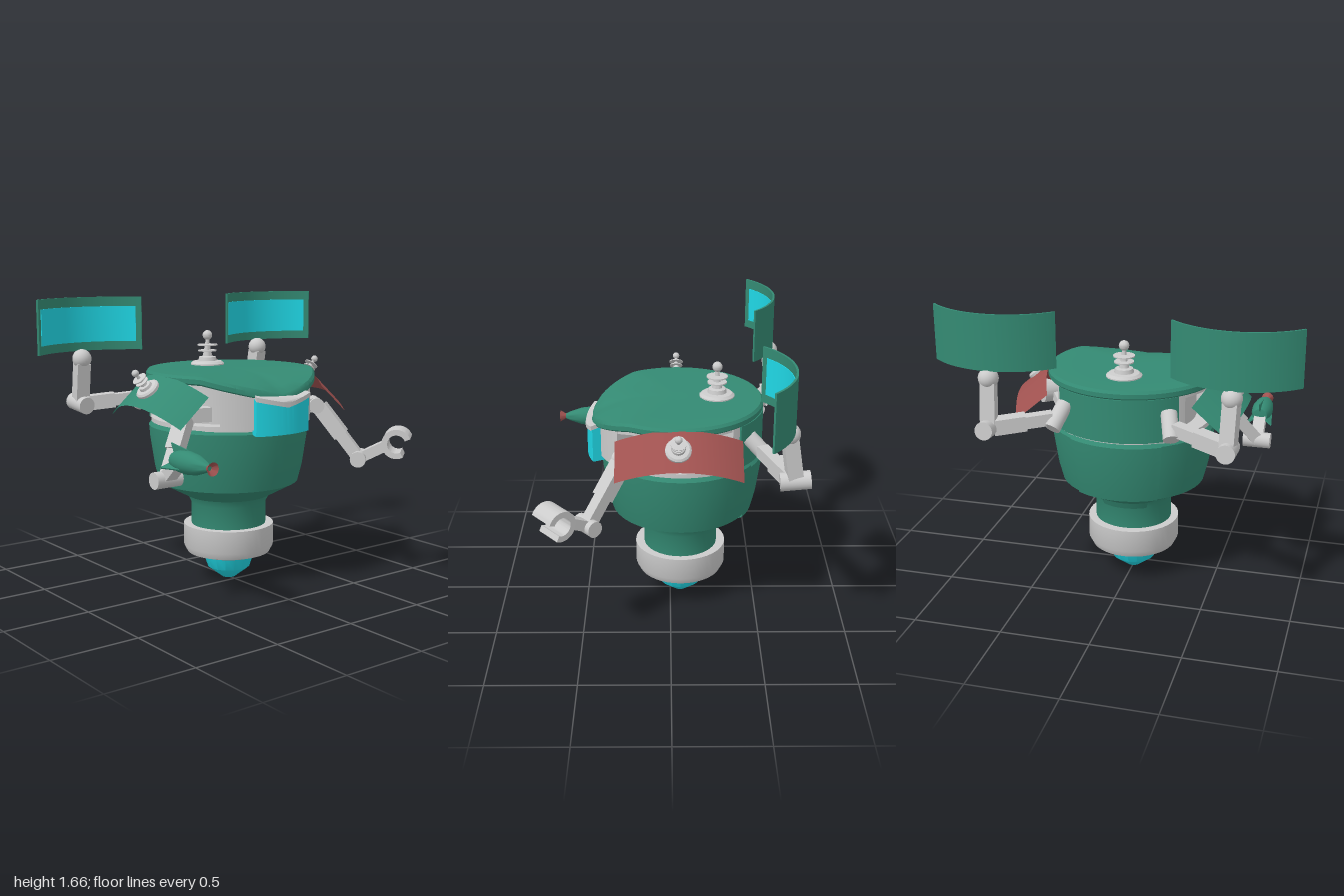
import * as THREE from 'three';
import { toCreasedNormals } from 'three/addons/utils/BufferGeometryUtils.js';

const mat = (color) => new THREE.MeshStandardMaterial({ color, side: THREE.DoubleSide });
const V = (x, y, z) => new THREE.Vector3(x, y, z);
const CX = -0.06; // body axis
const LID_X = -0.04; // lid axis

export function createModel() {
  const grey = mat(0xcccccc), green = mat(0x348a73), cyan = mat(0x20d8e6), red = mat(0xa05250);
  const root = new THREE.Group();

  const add = (name, geo, material, parent = root) => {
    const mesh = new THREE.Mesh(toCreasedNormals(geo, 0.6), material);
    mesh.name = name;
    parent.add(mesh);
    return mesh;
  };
  const lathe = (pts, seg = 40, a0 = 0, len = Math.PI * 2) =>
    new THREE.LatheGeometry(pts.map((p) => new THREE.Vector2(...p)), seg, a0, len);

  // Ring sector shape, angle 0 along +x
  const sectorShape = (r0, r1, a0, a1) => {
    const s = new THREE.Shape();
    s.absarc(0, 0, r1, a0, a1, false);
    s.absarc(0, 0, r0, a1, a0, true);
    return s;
  };
  // Upright curved wall
  const wall = (r0, r1, a0, a1, y0, y1, cx, cz = 0) => {
    const g = new THREE.ExtrudeGeometry(sectorShape(r0, r1, a0, a1), { depth: y1 - y0, bevelEnabled: false, curveSegments: 20 });
    return g.rotateX(-Math.PI / 2).translate(cx, y0, cz);
  };
  // Pulls the upper edge down into a brow at +x
  const sag = (geo) => {
    const p = geo.attributes.position;
    for (let i = 0; i < p.count; i++) {
      const x = p.getX(i) - LID_X, z = p.getZ(i), y = p.getY(i);
      const r = Math.min(1, Math.hypot(x, z) / 0.485);
      const front = Math.max(0, 1 - Math.abs(Math.atan2(z, x)));
      const weight = THREE.MathUtils.clamp((y - 0.96) / 0.2, 0, 1);
      p.setY(i, y - 0.11 * front * r ** 3 * weight);
    }
    return geo;
  };
  // Box and rod between two points
  const beam = (name, a, b, w, h, parent) => {
    const m = add(name, new THREE.BoxGeometry(w, h, a.distanceTo(b)), grey, parent);
    m.position.lerpVectors(a, b, 0.5);
    m.quaternion.setFromRotationMatrix(new THREE.Matrix4().lookAt(b, a, V(0, 1, 0)));
  };
  const rod = (name, a, b, r, parent) => {
    const m = add(name, new THREE.CylinderGeometry(r, r, a.distanceTo(b), 20), grey, parent);
    m.position.lerpVectors(a, b, 0.5);
    m.quaternion.setFromUnitVectors(V(0, 1, 0), b.clone().sub(a).normalize());
  };
  const link = (name, a, b, w, parent) => {
    const mid = a.clone().lerp(b, 0.55);
    beam(name, a, mid, w, w, parent);
    beam(name + 'Sleeve', mid, b, w * 0.78, w * 0.8, parent);
  };

  // Tip, collar and flared body
  add('tip', lathe([[0, 0], [0.04, 0.005], [0.125, 0.07], [0.155, 0.16], [0, 0.17]], 16), cyan).position.x = CX;
  add('collar', lathe([[0, 0.155], [0.2, 0.155], [0.245, 0.17], [0.265, 0.21], [0.265, 0.34], [0, 0.34]]), grey).position.x = CX;
  const profile = [[0.215, 0.33], [0.216, 0.47], [0.235, 0.51], [0.4, 0.6], [0.425, 0.7], [0.45, 0.87], [0.455, 0.935], [0.44, 0.955]];
  const body = add('body', lathe([...profile, [0, 0.955]]), green);
  body.position.x = CX;
  body.scale.z = 1.03;
  add('backPanel', lathe(profile.slice(1).map(([r, y]) => [r + 0.014, y]), 16, Math.PI * 1.5 - 0.58, 1.16), green).position.x = CX;

  // Head: floor, core, walls, frames and window
  add('headFloor', new THREE.CylinderGeometry(0.45, 0.45, 0.03, 40).translate(CX, 0.965, 0), grey);
  add('headCore', sag(lathe([[0.36, 0.965], [0.36, 1.2]], 48).translate(CX, 0, 0)), grey);
  add('backWall', wall(0.36, 0.468, Math.PI - 0.8, Math.PI + 0.8, 0.965, 1.21, CX), green);
  for (const s of [-1, 1]) {
    const a = s > 0 ? [0.36, 0.76] : [-0.76, -0.36];
    add('windowFrame', sag(wall(0.34, 0.47, ...a, 0.965, 1.2, CX + 0.01)), grey);
    const b = Math.PI - s * 0.85;
    add('rearPillar', wall(0.36, 0.455, b - 0.06, b + 0.06, 0.965, 1.21, CX), grey);
  }
  add('window', sag(wall(0.38, 0.46, -0.42, 0.42, 0.935, 1.2, 0.015)), cyan);
  add('brow', sag(wall(0.38, 0.47, -0.42, 0.42, 1.195, 1.22, 0.013)), grey);

  // Lid with a folded front
  add('lidLining', sag(lathe([[0, 1.185], [0.3, 1.185], [0.46, 1.185], [0.46, 1.215]], 64).translate(LID_X, 0, 0)), grey);
  const lidProfile = [[0, 1.21], [0.25, 1.21], [0.48, 1.21], [0.487, 1.218], [0.487, 1.243], [0.475, 1.258],
    [0.42, 1.26], [0.34, 1.26], [0.26, 1.26], [0.15, 1.26], [0, 1.26]];
  add('lid', sag(lathe(lidProfile, 64).translate(LID_X, 0, 0)), green);

  // Antenna: stepped base, tapered mast, two discs and a ball
  const antenna = (name, scale) => {
    const g = new THREE.Group();
    g.name = name;
    add('antennaMast', lathe([[0.1, -0.02], [0.1, 0.012], [0.085, 0.025], [0.055, 0.028], [0.05, 0.05], [0.028, 0.055],
      [0.024, 0.08], [0.055, 0.083], [0.055, 0.09], [0.02, 0.092], [0.018, 0.115], [0.06, 0.117], [0.06, 0.124],
      [0.014, 0.127], [0.01, 0.17], [0, 0.17]], 24), grey, g);
    add('antennaBall', new THREE.SphereGeometry(0.029, 16, 12).translate(0, 0.178, 0), grey, g);
    g.scale.setScalar(scale);
    root.add(g);
    return g;
  };
  antenna('topAntenna', 1).position.set(-0.265, 1.255, 0);

  for (const s of [-1, 1]) {
    // Sloping side shield, arched along x
    const shield = new THREE.PlaneGeometry(2, 1, 24, 2);
    const p = shield.attributes.position;
    for (let i = 0; i < p.count; i++) {
      const u = p.getX(i), v = 0.5 - p.getY(i);
      p.setXYZ(i, -0.045 + 0.345 * u, 1.25 - 0.16 * v - 0.095 * u * u, s * (0.48 + 0.185 * v - 0.075 * u * u));
    }
    shield.computeVertexNormals();
    add('sideShield', shield, s > 0 ? green : red);
    const ant = antenna('sideAntenna', 0.7);
    ant.position.set(-0.04, 1.175, s * 0.57);
    ant.rotation.x = s * 0.7;

    // Curved collector panel on a jointed arm
    const arm = new THREE.Group();
    arm.name = 'panelArm';
    root.add(arm);
    add('panelBack', wall(0.483, 0.495, Math.PI - 0.77, Math.PI + 0.77, 1.35, 1.66, -0.14, s * 0.655), green, arm);
    add('panelFace', wall(0.479, 0.484, Math.PI - 0.7, Math.PI + 0.7, 1.4, 1.605, -0.14, s * 0.655), cyan, arm);
    add('panelBall', new THREE.SphereGeometry(0.056, 20, 14).translate(-0.61, 1.305, s * 0.655), grey, arm);
    beam('panelPost', V(-0.645, 1.06, s * 0.65), V(-0.61, 1.28, s * 0.655), 0.08, 0.08, arm);
    rod('panelElbow', V(-0.73, 1.045, s * 0.65), V(-0.57, 1.03, s * 0.65), 0.05, arm);
    link('panelForearm', V(-0.63, 1.04, s * 0.63), V(-0.5, 1.07, s * 0.34), 0.085, arm);
    rod('panelShoulder', V(-0.54, 1.02, s * 0.33), V(-0.43, 1.13, s * 0.29), 0.045, arm);
  }

  // Nozzle arm
  const nozzleArm = new THREE.Group();
  nozzleArm.name = 'nozzleArm';
  root.add(nozzleArm);
  const elbowA = V(0.28, 0.74, 0.67);
  beam('shoulderMount', V(0.16, 1.04, 0.3), V(0.13, 1.04, 0.43), 0.08, 0.08, nozzleArm);
  rod('shoulder', V(0.04, 1.04, 0.41), V(0.16, 1.03, 0.46), 0.045, nozzleArm);
  link('upperArm', V(0.15, 1.03, 0.46), elbowA, 0.085, nozzleArm);
  rod('elbow', V(0.28, 0.74, 0.59), V(0.28, 0.74, 0.75), 0.046, nozzleArm);
  beam('forearm', elbowA, V(0.4, 0.85, 0.67), 0.07, 0.06, nozzleArm);
  const nozzle = new THREE.Group();
  nozzle.name = 'nozzle';
  nozzle.position.set(0.36, 0.86, 0.67);
  nozzle.rotation.z = -Math.PI / 2;
  nozzleArm.add(nozzle);
  add('nozzleBody', lathe([[0, 0], [0.042, 0.005], [0.058, 0.06], [0.062, 0.12], [0.053, 0.2], [0.03, 0.27], [0.016, 0.3], [0, 0.3]], 20), green, nozzle);
  add('nozzleFlare', lathe([[0.014, 0.29], [0.018, 0.305], [0.036, 0.335], [0.012, 0.31]], 20), red, nozzle);
  const finShape = new THREE.Shape([[0.03, 0], [0.085, -0.03], [0.065, 0.12], [0.04, 0.13]].map((q) => new THREE.Vector2(...q)));
  for (let i = 0; i < 3; i++) {
    const fin = add('nozzleFin', new THREE.ExtrudeGeometry(finShape, { depth: 0.008, bevelEnabled: false }).translate(0, 0, -0.004), green, nozzle);
    fin.rotation.y = Math.PI + (i * Math.PI * 2) / 3;
  }

  // Claw arm
  const clawArm = new THREE.Group();
  clawArm.name = 'clawArm';
  root.add(clawArm);
  const elbowB = V(0.45, 0.735, -0.57);
  beam('shoulderMount', V(0.2, 1.04, -0.3), V(0.25, 1.04, -0.42), 0.08, 0.08, clawArm);
  rod('shoulder', V(0.18, 1.04, -0.44), V(0.3, 1.04, -0.37), 0.045, clawArm);
  link('upperArm', V(0.27, 1.03, -0.42), elbowB, 0.085, clawArm);
  rod('elbow', V(0.405, 0.735, -0.624), V(0.495, 0.735, -0.516), 0.046, clawArm);
  beam('forearm', elbowB, V(0.56, 0.81, -0.665), 0.07, 0.06, clawArm);
  const claw = add('claw', new THREE.ExtrudeGeometry(sectorShape(0.052, 0.085, 0.4, Math.PI * 2 - 1.1),
    { depth: 0.164, bevelEnabled: false, curveSegments: 24 }).translate(0, 0, -0.082), grey, clawArm);
  claw.position.set(0.615, 0.835, -0.715);
  claw.rotation.y = 0.69;

  return root;
}
